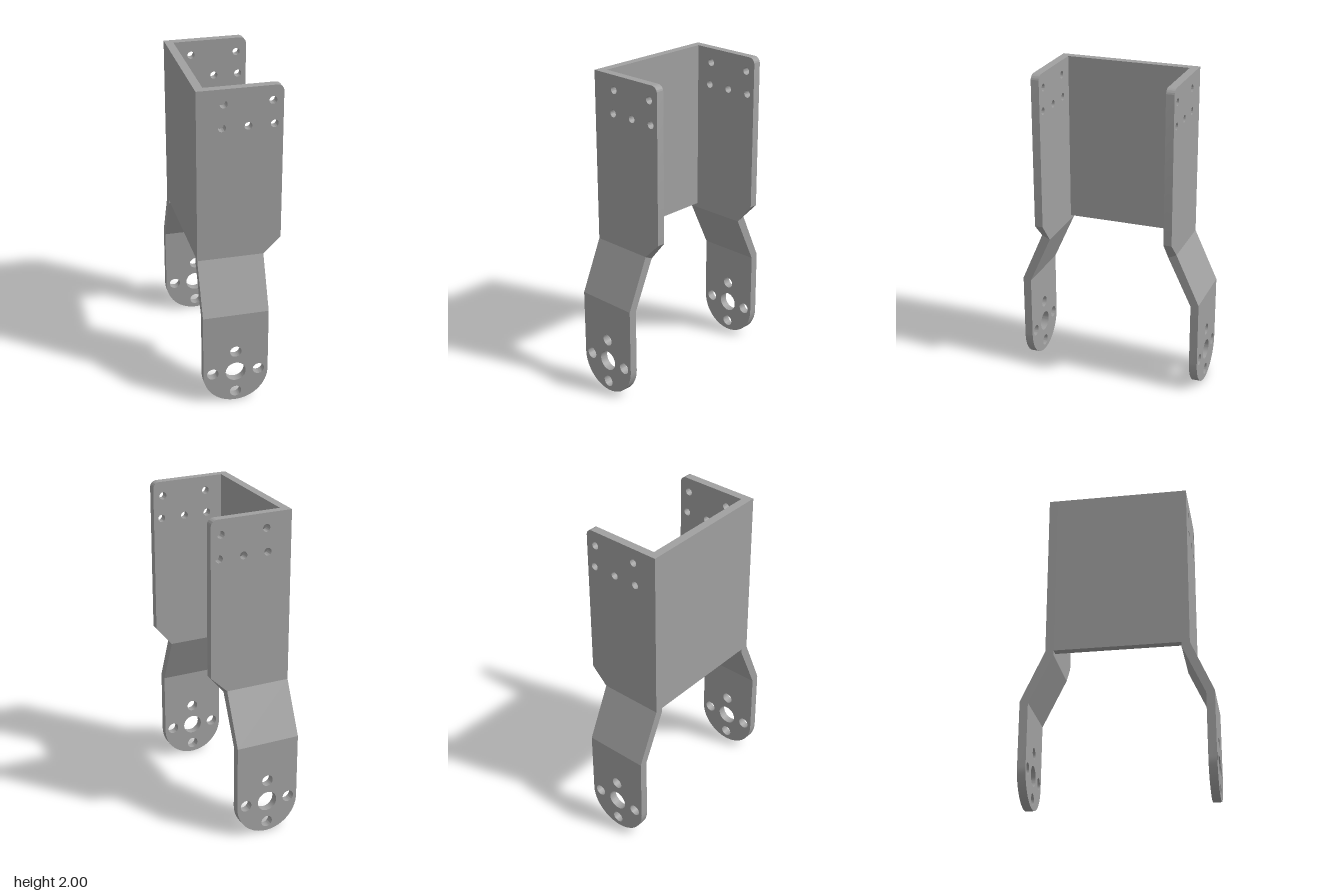
import * as THREE from 'three';
import { toCreasedNormals } from 'three/addons/utils/BufferGeometryUtils.js';

const T = 0.051;                       // sheet thickness
const X0 = -0.255, X1 = 0.15, X2 = 0.255;
const FOOT_IN = 0.534;                 // inner face of the feet
const BEND_TOP = { outer: 0.932, inner: 0.907 };
const BEND_LOW = { outer: 0.612, inner: 0.6 };

const metal = new THREE.MeshStandardMaterial({ color: 0xa0a0a0 });
metal.name = 'grey metal';

function addHoles(shape, holes) {
  for (const [x, y, r] of holes) {
    shape.holes.push(new THREE.Path().absarc(x, y, r, 0, Math.PI * 2, true));
  }
}

// Upper flange outline: chamfered at the lower right, rounded at the upper right
function flangeShape() {
  const s = new THREE.Shape();
  s.moveTo(X0, BEND_TOP.outer);
  s.lineTo(X1, BEND_TOP.outer);
  s.lineTo(X2, 1.035);
  s.lineTo(X2, 1.96);
  s.absarc(X2 - 0.04, 1.96, 0.04, 0, Math.PI / 2, false);
  s.lineTo(X0, 2);
  s.closePath();
  addHoles(s, [
    [-0.095, 1.91, 0.023], [0.192, 1.91, 0.023],
    [-0.105, 1.767, 0.023], [0.049, 1.767, 0.023], [0.203, 1.767, 0.023],
  ]);
  return s;
}

// Foot outline: rounded end with a ring of bolt holes
function footShape() {
  const r = (X1 - X0) / 2, cx = (X0 + X1) / 2;
  const s = new THREE.Shape();
  s.moveTo(X1, BEND_LOW.outer);
  s.lineTo(X0, BEND_LOW.outer);
  s.lineTo(X0, r);
  s.absarc(cx, r, r, Math.PI, Math.PI * 2, false);
  s.closePath();
  const cy = 0.207, d = 0.144;
  addHoles(s, [
    [cx, cy, 0.063], [cx - d, cy, 0.036], [cx + d, cy, 0.036],
    [cx, cy - d, 0.036], [cx, cy + d, 0.036],
  ]);
  return s;
}

// Extrude a plate on one side and mitre its bend edge
function plate(shape, side, zIn, bend) {
  const geo = new THREE.ExtrudeGeometry(shape, { depth: T, bevelEnabled: false, curveSegments: 24 });
  geo.translate(0, 0, side > 0 ? zIn : -zIn - T);
  const p = geo.attributes.position;
  for (let i = 0; i < p.count; i++) {
    const isInner = Math.abs(p.getZ(i)) < zIn + T / 2;
    if (isInner && Math.abs(p.getY(i) - bend.outer) < 1e-4) p.setY(i, bend.inner);
  }
  return toCreasedNormals(geo, 0.5);
}

// Sloping web between flange and foot, open where it meets them
function slope(side, zIn) {
  const geo = new THREE.BoxGeometry(X1 - X0, 1, 1);
  geo.translate((X0 + X1) / 2, 0, 0);
  const p = geo.attributes.position;
  for (let i = 0; i < p.count; i++) {
    const key = p.getZ(i) * side > 0 ? 'outer' : 'inner';
    const top = p.getY(i) > 0;
    const z = (top ? zIn : FOOT_IN) + (key === 'outer' ? T : 0);
    p.setY(i, (top ? BEND_TOP : BEND_LOW)[key]);
    p.setZ(i, z * side);
  }
  const index = Array.from(geo.index.array);
  geo.setIndex([...index.slice(0, 12), ...index.slice(24)]);
  geo.clearGroups();
  geo.computeVertexNormals();
  return geo;
}

export function createModel() {
  const model = new THREE.Group();
  model.name = 'bracket';
  const add = (parent, name, geo) => {
    const mesh = new THREE.Mesh(geo, metal);
    mesh.name = name;
    parent.add(mesh);
    return mesh;
  };

  // Two arms, front and back
  const arms = [['front', 1, 0.395], ['back', -1, 0.386]];
  for (const [name, side, zIn] of arms) {
    const arm = new THREE.Group();
    arm.name = name + 'Arm';
    add(arm, name + 'Flange', plate(flangeShape(), side, zIn, BEND_TOP));
    add(arm, name + 'Slope', slope(side, zIn));
    add(arm, name + 'Foot', plate(footShape(), side, FOOT_IN, BEND_LOW));
    model.add(arm);
  }

  // Wall joining the two flanges
  const zFront = arms[0][2], zBack = -arms[1][2];
  const wall = add(model, 'wall', new THREE.BoxGeometry(T, 2 - 0.935, zFront - zBack));
  wall.position.set(X0 + T / 2, (2 + 0.935) / 2, (zFront + zBack) / 2);

  return model;
}
